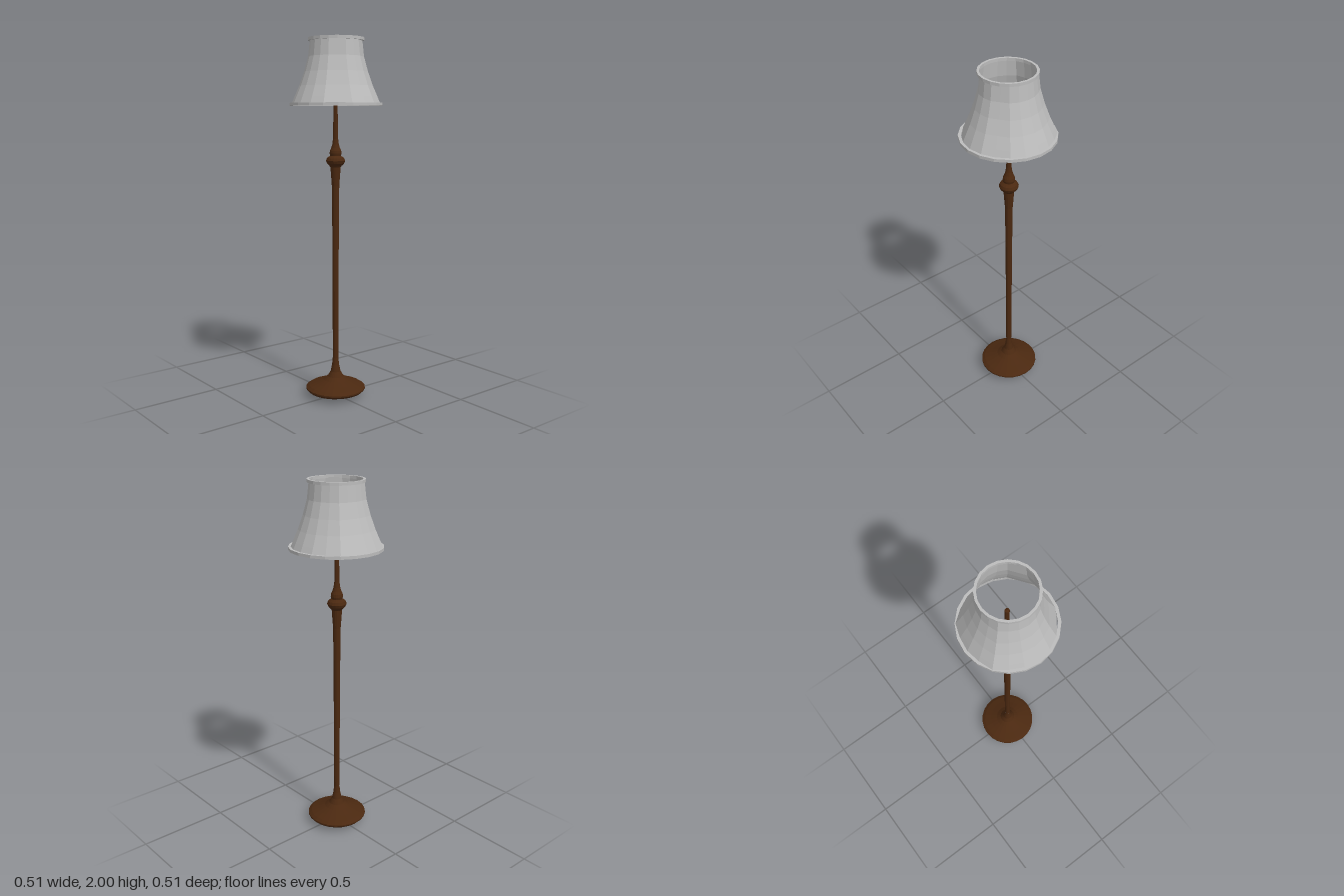
import * as THREE from 'three';

const SIDES = 20;

export function createModel() {
  const wood = new THREE.MeshStandardMaterial({ color: 0x4a2810, flatShading: true });
  wood.name = 'dark wood';
  const fabric = new THREE.MeshStandardMaterial({ color: 0xbcbcbc, flatShading: true, side: THREE.DoubleSide });
  fabric.name = 'grey fabric';

  const lamp = new THREE.Group();
  lamp.name = 'floorLamp';

  // Turned part from [radius, height] points, listed from the bottom up
  const turn = (name, points, sides, material, x = 0) => {
    const profile = points.map(([r, y]) => new THREE.Vector2(r, y));
    const mesh = new THREE.Mesh(new THREE.LatheGeometry(profile, sides), material);
    mesh.name = name;
    mesh.position.x = x;
    lamp.add(mesh);
    return mesh;
  };

  const axis = -0.005;

  // Lens-shaped foot sweeping up into the pole
  turn('base', [
    [0, 0], [0.06, 0.006], [0.12, 0.016], [0.155, 0.029], [0.168, 0.042],
    [0.168, 0.05], [0.15, 0.062], [0.11, 0.077], [0.07, 0.094], [0.045, 0.112],
    [0.028, 0.14], [0.02, 0.18], [0.016, 0.22],
  ], 24, wood, axis);

  // Slightly tapered pole with a flared head
  turn('pole', [
    [0.016, 0.22], [0.017, 0.6], [0.019, 1.0], [0.021, 1.2],
    [0.027, 1.28], [0.029, 1.31],
  ], 14, wood, axis);

  // Turned collar with two beads
  turn('collar', [
    [0.029, 1.305], [0.034, 1.312], [0.047, 1.325], [0.053, 1.34], [0.047, 1.355],
    [0.03, 1.367], [0.033, 1.38], [0.031, 1.395], [0.024, 1.41], [0.018, 1.43], [0.014, 1.46],
  ], 18, wood, axis);

  // Thin rod reaching up inside the shade
  turn('upperRod', [[0.014, 1.46], [0.012, 1.6], [0.012, 1.8], [0, 1.805]], 12, wood, axis);

  // Bell shade, a little flattened on the right and pinched out on the left
  const shade = turn('shade', [
    [0.243, 1.645], [0.226, 1.685], [0.2, 1.745], [0.173, 1.82], [0.151, 1.9], [0.141, 1.99],
  ], SIDES, fabric);
  const pos = shade.geometry.attributes.position;
  for (let i = 0; i < pos.count; i++) {
    const x = pos.getX(i), z = pos.getZ(i);
    const step = Math.round(Math.abs(Math.atan2(z, x)) / (Math.PI * 2 / SIDES));
    const k = step === 2 ? 0.952 : step === 8 ? 1.045 : 1;
    pos.setX(i, x * k);
    pos.setZ(i, z * k);
  }
  shade.geometry.computeVertexNormals();

  // Trim bands around both openings
  const band = (name, inner, outer, y0, y1) =>
    turn(name, [[inner, y0], [outer, y0], [outer, y1], [inner, y1], [inner, y0]], SIDES, fabric);
  band('lowerTrim', 0.238, 0.254, 1.638, 1.654);
  band('upperTrim', 0.139, 0.152, 1.984, 2.0);

  return lamp;
}
